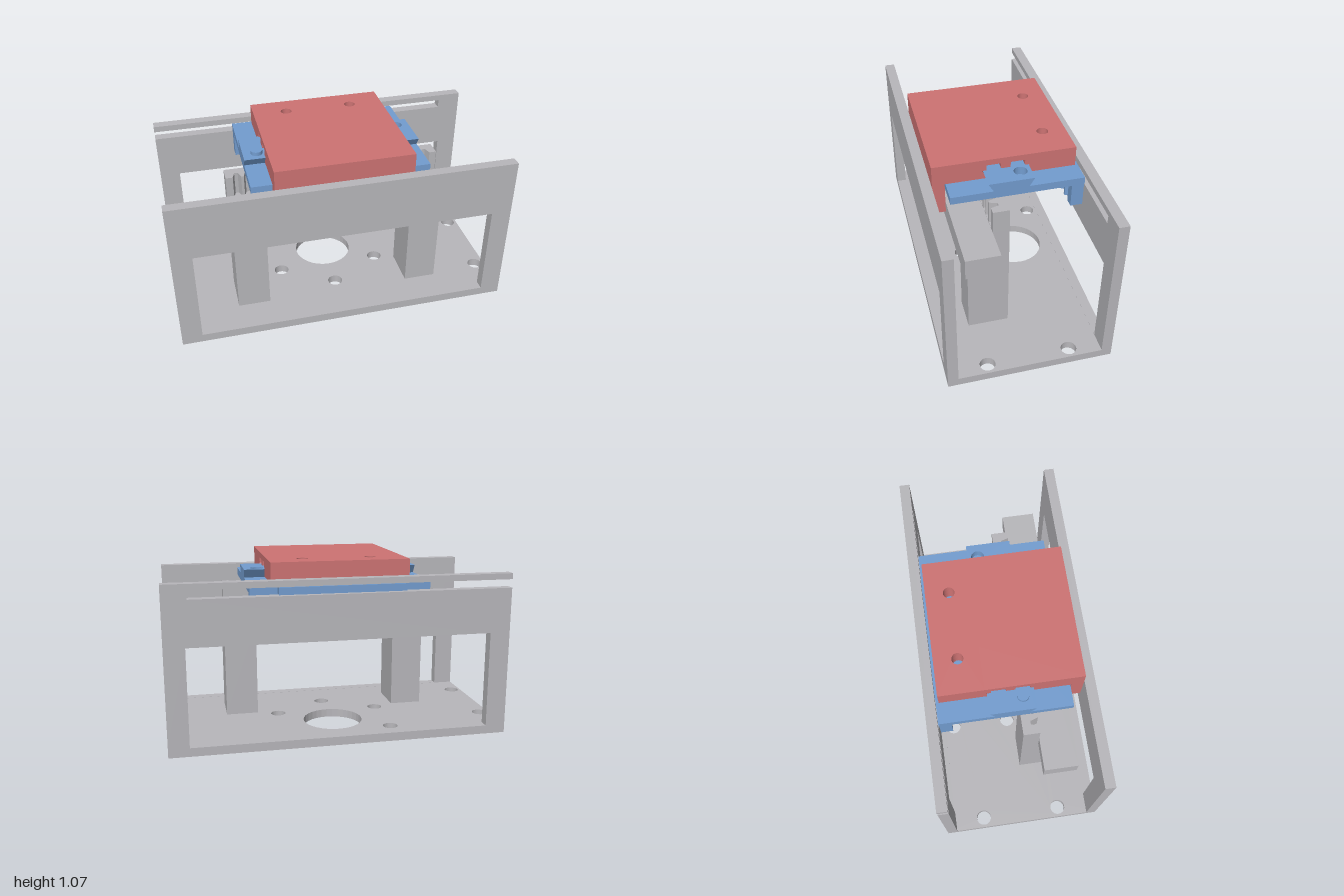
import * as THREE from 'three';

const material = (name, color) => {
  const m = new THREE.MeshStandardMaterial({ color });
  m.name = name;
  return m;
};
const polygon = pts => new THREE.Shape(pts.map(p => new THREE.Vector2(p[0], p[1])));
const rect = (x0, x1, y0, y1) => polygon([[x0, y0], [x1, y0], [x1, y1], [x0, y1]]);
const hole = (x, y, r) => new THREE.Path().absarc(x, y, r, 0, Math.PI * 2, true);
const extrude = (shape, depth) =>
  new THREE.ExtrudeGeometry(shape, { depth, bevelEnabled: false, curveSegments: 16 });

// Plan shapes are drawn in (x, -z) and raised from y0 to y1.
const raise = (shape, y0, y1) => extrude(shape, y1 - y0).rotateX(-Math.PI / 2).translate(0, y0, 0);
// Side profiles are drawn in (-z, y) and run along x.
const runX = (shape, x0, x1) => extrude(shape, x1 - x0).rotateY(Math.PI / 2).translate(x0, 0, 0);

// Straight rack: teeth point from the back edge towards the tip.
const PITCH = 0.0633;
function rackShape(half, back, root, tip) {
  const n = Math.floor((half - 0.03) / PITCH);
  const pts = [[-half, -back], [-half, -tip]];
  for (let k = -n; k <= n; k++) {
    const x = k * PITCH;
    pts.push([x - 0.024, -tip], [x - 0.01, -root], [x + 0.01, -root], [x + 0.024, -tip]);
  }
  pts.push([half, -tip], [half, -back]);
  return polygon(pts);
}

function gearShape(cx, cz, teeth, root, tip) {
  const pts = [], step = Math.PI * 2 / teeth;
  for (let i = 0; i < teeth; i++) {
    for (const [f, r] of [[-0.34, root], [-0.14, tip], [0.14, tip], [0.34, root]]) {
      const a = (i + f) * step;
      pts.push([cx + r * Math.cos(a), -cz + r * Math.sin(a)]);
    }
  }
  return polygon(pts);
}

export function createModel() {
  const model = new THREE.Group();
  const grey = material('frame grey', 0xb8b7bb);
  const red = material('carriage red', 0xcd7373);
  const blue = material('slider blue', 0x739dd0);
  const green = material('pinion green', 0x6fc48a);
  const orange = material('drive gear orange', 0xcb9f64);

  const add = (name, geometry, mat) => {
    const mesh = new THREE.Mesh(geometry, mat);
    mesh.name = name;
    model.add(mesh);
    return mesh;
  };
  const box = (name, mat, x0, x1, y0, y1, z0, z1) =>
    add(name, new THREE.BoxGeometry(x1 - x0, y1 - y0, z1 - z0)
      .translate((x0 + x1) / 2, (y0 + y1) / 2, (z0 + z1) / 2), mat);
  const pin = (name, mat, x, z, r, y0, y1) =>
    add(name, new THREE.CylinderGeometry(r, r, y1 - y0, 28).translate(x, (y0 + y1) / 2, z), mat);

  // Base plate with the motor opening and screw holes
  const base = rect(-1, 1, -0.48, 0.48);
  base.holes.push(hole(0, 0.17, 0.18));
  for (const [x, z] of [[0.316, 0], [-0.316, 0], [0, 0.185], [-0.316, -0.36],
    [0.94, 0.24], [-0.94, 0.24], [0.94, -0.24], [-0.94, -0.24]]) {
    base.holes.push(hole(x, -z, 0.045));
  }
  add('basePlate', raise(base, 0, 0.05), grey);

  // Windowed walls; the back one has a guide slot open at one end
  const front = rect(-1, 1, 0.05, 0.955);
  const back = polygon([[-1, 0.05], [1, 0.05], [1, 0.975], [-1, 0.975],
    [-1, 0.94], [0.86, 0.94], [0.86, 0.89], [-1, 0.89]]);
  // The window reaches the base, so each wall keeps a hair of sill
  for (const wall of [front, back]) wall.holes.push(rect(-0.88, 0.88, 0.051, 0.625));
  add('frontWall', extrude(front, 0.06).translate(0, 0, 0.42), grey);
  add('backWall', extrude(back, 0.06).translate(0, 0, -0.48), grey);

  // Posts, cross beam and the fixed rack they carry
  for (const s of [-1, 1]) {
    box('post', grey, s * 0.5375 - 0.0975, s * 0.5375 + 0.0975, 0.05, 0.625, 0.04, 0.28);
  }
  box('crossBeam', grey, -0.82, 0.82, 0.625, 0.752, 0.135, 0.33);
  box('rackSupport', grey, -0.635, 0.635, 0.625, 0.755, 0.04, 0.135);
  add('fixedRack', raise(rackShape(0.635, 0.04, 0.09, 0.135), 0.755, 0.89), grey);

  // Sliding plate, its tongue in the wall slot, and its rack
  box('slidePlate', blue, -0.52, 0.52, 0.895, 0.94, -0.418, 0.34);
  box('slideTongue', blue, -0.365, 0.365, 0.895, 0.937, -0.475, -0.418);
  add('slideRack', raise(rackShape(0.52, -0.415, -0.385, -0.345), 0.755, 0.895), blue);

  // Dovetail rail: a plan with a hole, narrowed at the bottom
  const rail = rect(-0.52, 0.52, -0.13, 0.13);
  rail.holes.push(hole(0.44, 0.07, 0.038));
  const railGeo = raise(rail, 0.94, 0.99);
  const pos = railGeo.attributes.position;
  for (let i = 0; i < pos.count; i++) {
    const z = pos.getZ(i);
    if (Math.abs(z) > 0.12 && pos.getY(i) < 0.96) pos.setZ(i, Math.sign(z) * 0.1);
  }
  railGeo.computeVertexNormals();
  add('dovetailRail', railGeo, blue);
  pin('stopPin', blue, -0.44, 0.065, 0.034, 0.98, 1.012);
  pin('pinionAxle', blue, 0, 0.24, 0.04, 0.76, 0.9);

  // Gears
  const pinion = gearShape(0, 0.24, 8, 0.064, 0.105);
  pinion.holes.push(hole(0, -0.24, 0.04));
  add('pinion', raise(pinion, 0.755, 0.885), green);
  const drive = gearShape(0, -0.163, 16, 0.142, 0.183);
  for (const s of [-1, 1]) drive.holes.push(hole(s * 0.115, 0.163, 0.03));
  add('driveGear', raise(drive, 0.755, 0.89), orange);

  // Carriage: dovetail groove, with stop grooves in both ends
  const carriage = grooved => {
    const pts = [[-0.415, 0.945], [-0.107, 0.945], [-0.137, 0.997]];
    if (grooved) {
      for (const c of [-0.07, 0.066]) {
        pts.push([c - 0.041, 0.997], [c - 0.041, 1.03], [c + 0.041, 1.03], [c + 0.041, 0.997]);
      }
    }
    pts.push([0.137, 0.997], [0.107, 0.945], [0.14, 0.945], [0.14, 1.065], [-0.415, 1.065]);
    return polygon(pts);
  };
  add('carriageMiddle', runX(carriage(false), -0.15, 0.15), red);
  add('carriageEnd', runX(carriage(true), 0.15, 0.4), red);
  add('carriageEnd', runX(carriage(true), -0.4, -0.15), red);
  const rear = rect(-0.4, 0.4, 0.14, 0.4);
  for (const s of [-1, 1]) rear.holes.push(hole(s * 0.2, 0.265, 0.033));
  add('carriageRear', raise(rear, 0.945, 1.065), red);
  add('carriageRack', raise(rackShape(0.4, 0.415, 0.385, 0.345), 0.755, 0.945), red);

  return model;
}
